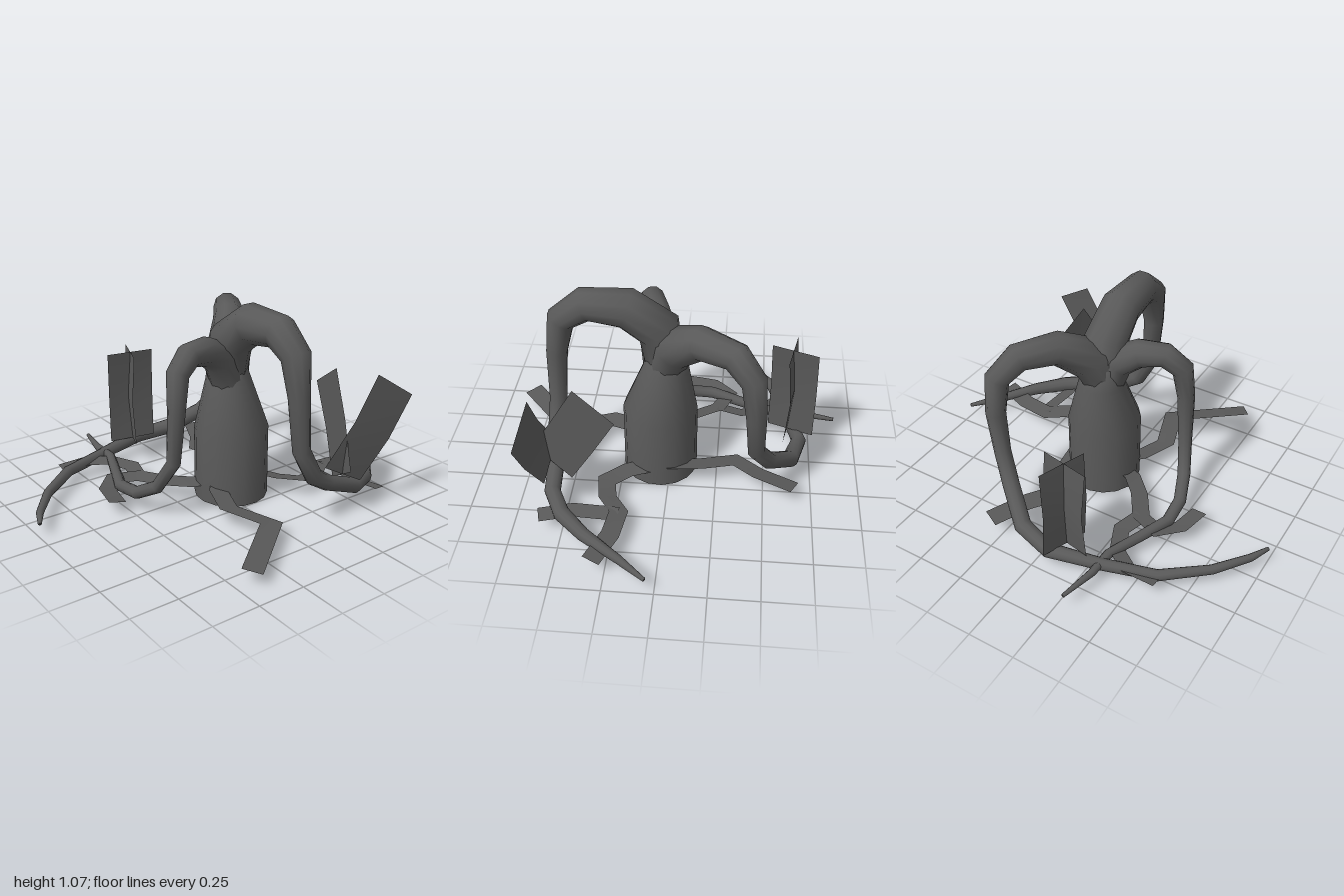
import * as THREE from 'three';

const V = (p) => new THREE.Vector3(p[0], p[1], p[2]);

function surface(pos, idx) {
  const g = new THREE.BufferGeometry();
  g.setAttribute('position', new THREE.Float32BufferAttribute(pos, 3));
  g.setIndex(idx);
  g.computeVertexNormals();
  return g;
}

// Tapered limb: rings of given radius along a path of [x, y, z, radius]
function limb(path, sides = 10) {
  const pts = path.map(V), pos = [], idx = [];
  const normal = new THREE.Vector3(), prev = new THREE.Vector3();
  const q = new THREE.Quaternion();
  pts.forEach((p, i) => {
    const a = pts[Math.max(i - 1, 0)], b = pts[Math.min(i + 1, pts.length - 1)];
    const t = new THREE.Vector3();
    if (i > 0) t.add(p.clone().sub(a).normalize());
    if (i < pts.length - 1) t.add(b.clone().sub(p).normalize());
    t.normalize();
    if (i === 0) normal.set(1, 0, 0.3).cross(t).normalize();
    else normal.applyQuaternion(q.setFromUnitVectors(prev, t));
    prev.copy(t);
    const side = t.clone().cross(normal);
    for (let j = 0; j < sides; j++) {
      const w = (j / sides) * Math.PI * 2, r = path[i][3];
      const v = p.clone().addScaledVector(normal, Math.cos(w) * r).addScaledVector(side, Math.sin(w) * r);
      pos.push(v.x, v.y, v.z);
      if (i > 0) {
        const k = (j + 1) % sides, c = i * sides, d = c - sides;
        idx.push(d + j, d + k, c + j, d + k, c + k, c + j);
      }
    }
  });
  // Close the tip
  const last = (pts.length - 1) * sides;
  for (let j = 1; j < sides - 1; j++) idx.push(last, last + j, last + j + 1);
  return surface(pos, idx);
}

// Flat strip of constant width along a path of [x, z], with mitred bends
function ribbon(path, width, y0, y1) {
  const pos = [], idx = [], n = path.length - 1;
  const pts = path.map((p) => new THREE.Vector2(p[0], p[1]));
  pts.forEach((p, i) => {
    const d1 = pts[Math.max(i, 1)].clone().sub(pts[Math.max(i, 1) - 1]).normalize();
    const d2 = pts[Math.min(i + 1, n)].clone().sub(pts[Math.min(i, n - 1)]).normalize();
    const d = d1.clone().add(d2).normalize();
    const w = width / 2 / Math.max(d.dot(d1), 0.6);
    const y = y0 + (y1 - y0) * i / n;
    pos.push(p.x - d.y * w, y + 0.008, p.y + d.x * w, p.x + d.y * w, y - 0.008, p.y - d.x * w);
    if (i < n) idx.push(2 * i, 2 * i + 1, 2 * i + 2, 2 * i + 1, 2 * i + 3, 2 * i + 2);
  });
  return surface(pos, idx);
}

// Upright blade from four corners, with a bowed middle
function blade([a, b, c, d], bow) {
  const left = V(a).lerp(V(d), 0.5).add(V(bow)), right = V(b).lerp(V(c), 0.5).add(V(bow));
  const pos = [...a, ...b, ...left.toArray(), ...right.toArray(), ...d, ...c];
  return surface(pos, [0, 2, 1, 1, 2, 3, 2, 4, 3, 3, 4, 5]);
}

export function createModel() {
  const model = new THREE.Group();
  model.name = 'archedRootStump';
  const bark = new THREE.MeshStandardMaterial({ color: 0x595959, side: THREE.DoubleSide });
  bark.name = 'darkGrey';
  const add = (name, geometry) => {
    const mesh = new THREE.Mesh(geometry, bark);
    mesh.name = name;
    model.add(mesh);
  };

  // Trunk, open below, narrowing to a leaning neck
  add('trunk', limb([
    [0.06, 0, 0.055, 0.195], [0.06, 0.38, 0.055, 0.195],
    [0.06, 0.64, 0.025, 0.118], [0.05, 0.76, 0.02, 0.09],
  ], 16));

  // Three arching limbs that drop to the ground and trail away
  add('frontLimb', limb([
    [0.05, 0.66, 0.03, 0.1], [0.055, 0.86, 0.06, 0.115], [0.06, 0.975, 0.22, 0.105],
    [0.06, 0.985, 0.43, 0.088], [0.06, 0.895, 0.55, 0.075], [0.06, 0.7, 0.582, 0.055],
    [0.08, 0.42, 0.59, 0.046], [0.16, 0.265, 0.595, 0.046], [0.275, 0.19, 0.575, 0.042],
    [0.47, 0.115, 0.57, 0.042], [0.61, 0.1, 0.5, 0.042], [0.74, 0.095, 0.37, 0.034],
    [0.88, 0.09, 0.18, 0.022], [0.99, 0.085, 0.045, 0.01],
  ]));
  add('backLimb', limb([
    [0.05, 0.62, 0.04, 0.1], [0.1, 0.79, -0.02, 0.115], [0.21, 0.89, -0.16, 0.088],
    [0.32, 0.895, -0.33, 0.075], [0.385, 0.8, -0.42, 0.065], [0.395, 0.6, -0.44, 0.052],
    [0.365, 0.37, -0.45, 0.044], [0.27, 0.23, -0.52, 0.044], [0.12, 0.12, -0.64, 0.045],
    [-0.07, 0.09, -0.69, 0.04], [-0.34, 0.075, -0.62, 0.032], [-0.6, 0.07, -0.54, 0.03],
    [-0.81, 0.07, -0.37, 0.025], [-0.94, 0.07, -0.2, 0.02], [-0.99, 0.07, -0.1, 0.01],
  ]));
  add('sideLimb', limb([
    [0.04, 0.62, 0.05, 0.09], [-0.02, 0.77, 0.06, 0.09], [-0.13, 0.835, 0.09, 0.075],
    [-0.255, 0.845, 0.125, 0.065], [-0.34, 0.775, 0.155, 0.058], [-0.36, 0.6, 0.17, 0.046],
    [-0.375, 0.32, 0.16, 0.036], [-0.42, 0.17, 0.075, 0.034], [-0.465, 0.1, -0.05, 0.033],
    [-0.475, 0.085, -0.2, 0.032], [-0.4, 0.08, -0.38, 0.028], [-0.33, 0.08, -0.55, 0.025],
    [-0.325, 0.08, -0.7, 0.02], [-0.285, 0.08, -0.89, 0.01],
  ]));

  // Flat roots spreading near the ground
  add('frontRoot', ribbon([[0, 0.05], [-0.11, 0.18], [-0.17, 0.34], [-0.09, 0.58], [-0.43, 0.86]], 0.1, 0.1, 0.075));
  add('leftRoot', ribbon([[0.1, 0.05], [0.2, 0.09], [0.25, 0.21], [0.34, 0.31], [0.46, 0.29], [0.56, 0.22], [0.72, 0.24], [0.9, 0.31]], 0.09, 0.09, 0.09));
  add('leftRootBranch', ribbon([[0.58, 0.22], [0.565, 0.45], [0.61, 0.62]], 0.08, 0.09, 0.08));
  add('rightRoot', ribbon([[0, 0.04], [-0.15, 0], [-0.25, -0.1], [-0.34, -0.24], [-0.46, -0.29], [-0.55, -0.2], [-0.58, -0.05]], 0.09, 0.09, 0.08));
  add('rightRootBranch', ribbon([[-0.34, -0.24], [-0.3, -0.37], [-0.36, -0.51], [-0.46, -0.58], [-0.62, -0.58]], 0.08, 0.085, 0.075));
  add('backRoot', ribbon([[0.1, 0.05], [0.2, -0.02], [0.18, -0.17], [0.13, -0.35], [0.22, -0.47], [0.31, -0.66]], 0.1, 0.11, 0.09));

  // Crossed leaf blades: an upright pair behind, a leaning pair in front
  add('backBladeWide', blade([[-0.265, 0.64, -0.65], [-0.01, 0.64, -0.6], [-0.01, 0.12, -0.6], [-0.265, 0.12, -0.65]], [0.01, 0, -0.02]));
  add('backBladeDeep', blade([[-0.175, 0.64, -0.515], [-0.085, 0.64, -0.755], [-0.085, 0.12, -0.76], [-0.175, 0.12, -0.52]], [-0.015, 0, -0.005]));
  add('frontBladeWide', blade([[0.53, 0.73, 0.635], [0.74, 0.59, 0.675], [0.47, 0.16, 0.61], [0.25, 0.28, 0.58]], [0, 0, 0.02]));
  add('frontBladeDeep', blade([[0.43, 0.73, 0.44], [0.49, 0.59, 0.235], [0.4, 0.15, 0.48], [0.32, 0.28, 0.69]], [0.01, 0, 0]));
  return model;
}
